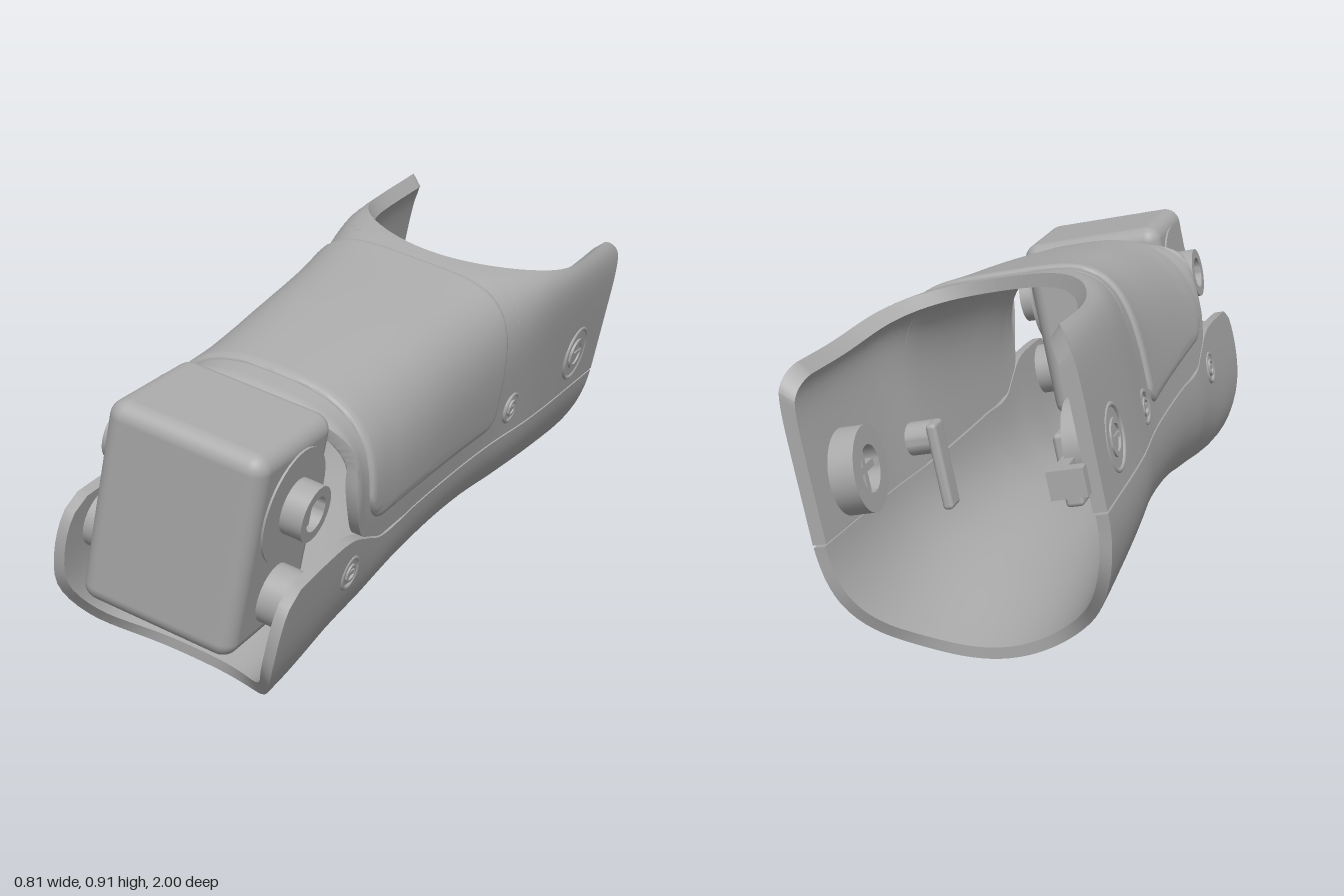
import * as THREE from 'three';
import { toCreasedNormals } from 'three/addons/utils/BufferGeometryUtils.js';
import { RoundedBoxGeometry } from 'three/addons/geometries/RoundedBoxGeometry.js';

const UC = -0.027; // centre line of the part
const grey = new THREE.MeshStandardMaterial({ color: 0xaaaaaa });
grey.name = 'plain grey';

// Smooth curve through a few points
function curve(xs, ys) {
  const c = new THREE.CubicInterpolant(xs, ys, 1);
  return (x) => c.evaluate(x)[0];
}
const halfWidth = curve([-0.97, -0.5, -0.25, 0, 0.6, 0.96], [0.37, 0.352, 0.328, 0.317, 0.315, 0.322]);
const seam = curve([-0.97, -0.3, 0.2, 0.42, 0.5, 0.6, 0.75, 0.97], [-0.08, -0.097, -0.107, -0.112, -0.082, -0.047, -0.042, -0.057]);
const top = curve([-0.97, -0.6, -0.31, -0.22, 0.2, 0.63], [0.38, 0.374, 0.376, 0.365, 0.322, 0.266]);
const bottom = curve([-0.97, -0.8, -0.4, 0, 0.3, 0.5, 0.74, 0.96], [-0.485, -0.47, -0.425, -0.408, -0.424, -0.45, -0.478, -0.485]);
const topPower = curve([-0.97, -0.5, -0.31, -0.24, 0.2, 0.63], [9.5, 8, 5, 4.4, 3.2, 2.7]);
const bottomPower = curve([-0.97, -0.4, 0, 0.4, 0.75, 0.96], [2, 2.1, 2.3, 2.7, 3.5, 3.6]);
const frontEnd = curve([0, 0.06, 0.15, 0.35, 0.55, 0.8, 1], [0.89, 0.935, 0.953, 0.96, 0.94, 0.845, 0.735]);
const backEnd = curve([0, 0.4, 0.7, 1], [-0.967, -0.952, -0.9, -0.81]);

const arcRise = (x, r) => 1 - Math.sqrt(Math.max(0, 1 - THREE.MathUtils.clamp(x / r, 0, 1) ** 2));
const ease = (s) => (1 - Math.cos(Math.PI * s)) / 2;
const upperLow = (z) => Math.max(seam(z), -0.112 + 0.25 * arcRise(z - 0.43, 0.2));

// Squared-oval radius and the angle for a given height fraction
const oval = (f, n) => (Math.abs(Math.cos(f)) ** n + Math.abs(Math.sin(f)) ** n) ** (-1 / n);
function angleAtHeight(z, v) {
  const n = topPower(z), low = upperLow(z);
  const m = THREE.MathUtils.clamp((v - low) / (top(z) - low), 0, 1);
  return Math.atan2(m, Math.max(0, 1 - m ** n) ** (1 / n));
}
function upperPoint(z, f, d) {
  const r = oval(f, topPower(z)), low = upperLow(z);
  d += 0.022 * arcRise(z - 0.595, 0.036);
  return [UC + (halfWidth(z) - d) * r * Math.cos(f), low + 0.003 + (top(z) - d - low) * r * Math.sin(f), z];
}
function lowerPoint(s, f, d) {
  const m = Math.min(1, Math.abs(Math.sin(f)) * oval(f, 3));
  const z = THREE.MathUtils.lerp(frontEnd(m), backEnd(m), s);
  const r = oval(f, bottomPower(z)), low = seam(z);
  return [UC + (halfWidth(z) - d) * r * Math.cos(f), low - 0.003 + (low - bottom(z) - d) * r * Math.sin(f), z];
}

// Closed sheet with an outer face, an inner face and four edges
function sheet(ns, nt, inset, point) {
  const pos = [], idx = [], N = (ns + 1) * (nt + 1);
  for (const d of [0, inset])
    for (let i = 0; i <= ns; i++)
      for (let j = 0; j <= nt; j++) pos.push(...point(i / ns, j / nt, d));
  const at = (i, j) => i * (nt + 1) + j;
  for (let i = 0; i < ns; i++)
    for (let j = 0; j < nt; j++) {
      const a = at(i, j), b = at(i + 1, j), c = at(i + 1, j + 1), e = at(i, j + 1);
      idx.push(a, b, c, a, c, e, a + N, c + N, b + N, a + N, e + N, c + N);
    }
  const edge = (a, b) => idx.push(b, a, a + N, b, a + N, b + N);
  for (let i = 0; i < ns; i++) { edge(at(i, 0), at(i + 1, 0)); edge(at(i + 1, nt), at(i, nt)); }
  for (let j = 0; j < nt; j++) { edge(at(0, j + 1), at(0, j)); edge(at(ns, j), at(ns, j + 1)); }
  const g = new THREE.BufferGeometry();
  g.setAttribute('position', new THREE.Float32BufferAttribute(pos, 3));
  g.setIndex(idx);
  return toCreasedNormals(g, 0.7);
}

// Tube-shaped bushing lying along x
function bushing(r, hole, length) {
  const s = new THREE.Shape().absarc(0, 0, r, 0, Math.PI * 2);
  s.holes.push(new THREE.Path().absarc(0, 0, hole, 0, Math.PI * 2, true));
  const g = new THREE.ExtrudeGeometry(s, { depth: length, bevelEnabled: false, curveSegments: 20 });
  g.translate(0, 0, -length / 2).rotateY(Math.PI / 2);
  return toCreasedNormals(g, 0.6);
}

export function createModel() {
  const model = new THREE.Group();
  model.name = 'limbSegment';
  const body = new THREE.Group();
  body.name = 'tiltedBody';
  body.rotation.z = THREE.MathUtils.degToRad(-12);
  body.position.y = 0.5;
  model.add(body);
  const add = (name, geo, x = 0, y = 0, z = 0) => {
    const m = new THREE.Mesh(geo, grey);
    m.name = name;
    m.position.set(x, y, z);
    body.add(m);
    return m;
  };

  // Lower shell, open at both ends
  add('lowerShell', sheet(70, 48, 0.03, (s, t, d) => lowerPoint(s, -Math.PI * (1 - t), d)));

  // Upper shell: closed front part and two back walls around the open cut
  add('upperShell', sheet(60, 48, 0.03, (s, t, d) =>
    upperPoint(THREE.MathUtils.lerp(0.63, -0.31, ease(s)), Math.PI * t, d)));
  const wallEnd = (z) => {
    const q = Math.min(1, (-0.31 - z) / 0.5), n = topPower(z);
    const k = 0.33 * Math.sqrt(Math.max(0, 1 - (1 - q) ** 3)) / halfWidth(z);
    const cut = Math.atan2(Math.max(0, 1 - k ** n) ** (1 / n), k);
    if (z > -0.88) return cut;
    return Math.min(cut, angleAtHeight(z, 0.36 - 0.07 * arcRise(-0.88 - z, 0.09)));
  };
  for (const side of [1, -1])
    add(side > 0 ? 'leftBackWall' : 'rightBackWall', sheet(44, 24, 0.035, (s, t, d) => {
      const z = THREE.MathUtils.lerp(-0.31, -0.968, ease(s)), f = wallEnd(z);
      return upperPoint(z, side > 0 ? f * t : Math.PI - f * (1 - t), d);
    }));

  // Raised cover panel with rounded corners
  const z0 = 0.548, z1 = -0.238;
  add('coverPanel', sheet(56, 56, 0.012, (s, t, d) => {
    const z = THREE.MathUtils.lerp(z0, z1, ease(s));
    const v = -0.04 + 0.11 * arcRise(z - 0.438, 0.11) + 0.06 * arcRise(-0.178 - z, 0.06);
    const f0 = angleAtHeight(z, v), f = THREE.MathUtils.lerp(f0, Math.PI - f0, ease(t));
    const rim = Math.min(z0 - z, z - z1, (f - f0) * 0.35, (Math.PI - f0 - f) * 0.35) / 0.022;
    const x = THREE.MathUtils.clamp(rim, 0, 1);
    return upperPoint(z, f, d - 0.012 * Math.sqrt(1 - (1 - x) ** 2));
  }));

  // Joint block at the front
  add('jointBlock', new RoundedBoxGeometry(0.435, 0.555, 0.365, 5, 0.045), UC, 0.01, 0.8175);

  const wallU = (z, v) => {
    if (v < seam(z)) {
      const m = (seam(z) - v) / (seam(z) - bottom(z)), n = bottomPower(z);
      return halfWidth(z) * (1 - m ** n) ** (1 / n);
    }
    const f = angleAtHeight(z, v);
    return halfWidth(z) * oval(f, topPower(z)) * Math.cos(f);
  };

  for (const side of [1, -1]) {
    const at = (u) => UC + side * u;
    // Hinge discs and slotted pins on the block
    add('hingeDisc', new THREE.CylinderGeometry(0.15, 0.15, 0.008, 40).rotateZ(Math.PI / 2), at(0.219), 0.1, 0.8);
    add('upperPin', bushing(0.073, 0.046, 0.07), at(0.247), 0.1, 0.8);
    add('upperPinCore', new THREE.BoxGeometry(0.05, 0.09, 0.03), at(0.237), 0.1, 0.8);
    add('lowerPin', bushing(0.078, 0.045, 0.07), at(0.25), -0.14, 0.82);
    add('lowerPinCore', new THREE.BoxGeometry(0.05, 0.088, 0.03), at(0.24), -0.14, 0.82);

    // Screw seats on the outer walls
    for (const [z, v, r] of [[0.58, -0.152, 0.042], [-0.345, -0.006, 0.042], [-0.765, 0.04, 0.08]]) {
      const u = wallU(z, v);
      add('screwRim', new THREE.TorusGeometry(r, 0.007, 8, 32).rotateY(Math.PI / 2), at(u - 0.002), v, z);
      add('screwRing', bushing(r * 0.6, r * 0.42, 0.012), at(u), v, z);
      add('screwSlot', new THREE.BoxGeometry(0.008, 0.012, r * 0.85), at(u), v, z);
    }

    // Inner bosses: slotted socket at the back, screw post further in
    add('backSocket', bushing(0.11, 0.06, 0.075), at(0.302), 0.04, -0.765);
    for (const a of [0, Math.PI / 2])
      add('socketRib', new THREE.BoxGeometry(0.04, 0.02, 0.13), at(0.3), 0.04, -0.765).rotation.x = a;
    add('screwPost', bushing(0.045, 0.02, 0.09), at(0.275), -0.006, -0.36);
  }

  // Inner brackets and the catch at the back edge
  add('leftBracket', new RoundedBoxGeometry(0.03, 0.24, 0.07, 2, 0.012), 0.2, -0.08, -0.38);
  add('rightBracket', new RoundedBoxGeometry(0.05, 0.2, 0.11, 2, 0.012), -0.16, -0.12, -0.4);
  add('catchArm', new THREE.BoxGeometry(0.035, 0.06, 0.17), -0.3, 0.005, -0.91);
  add('catchTab', new THREE.BoxGeometry(0.09, 0.07, 0.04), -0.325, 0.008, -0.98);

  // Rest the part on the ground
  model.updateMatrixWorld(true);
  body.position.y -= new THREE.Box3().setFromObject(model, true).min.y;
  return model;
}
